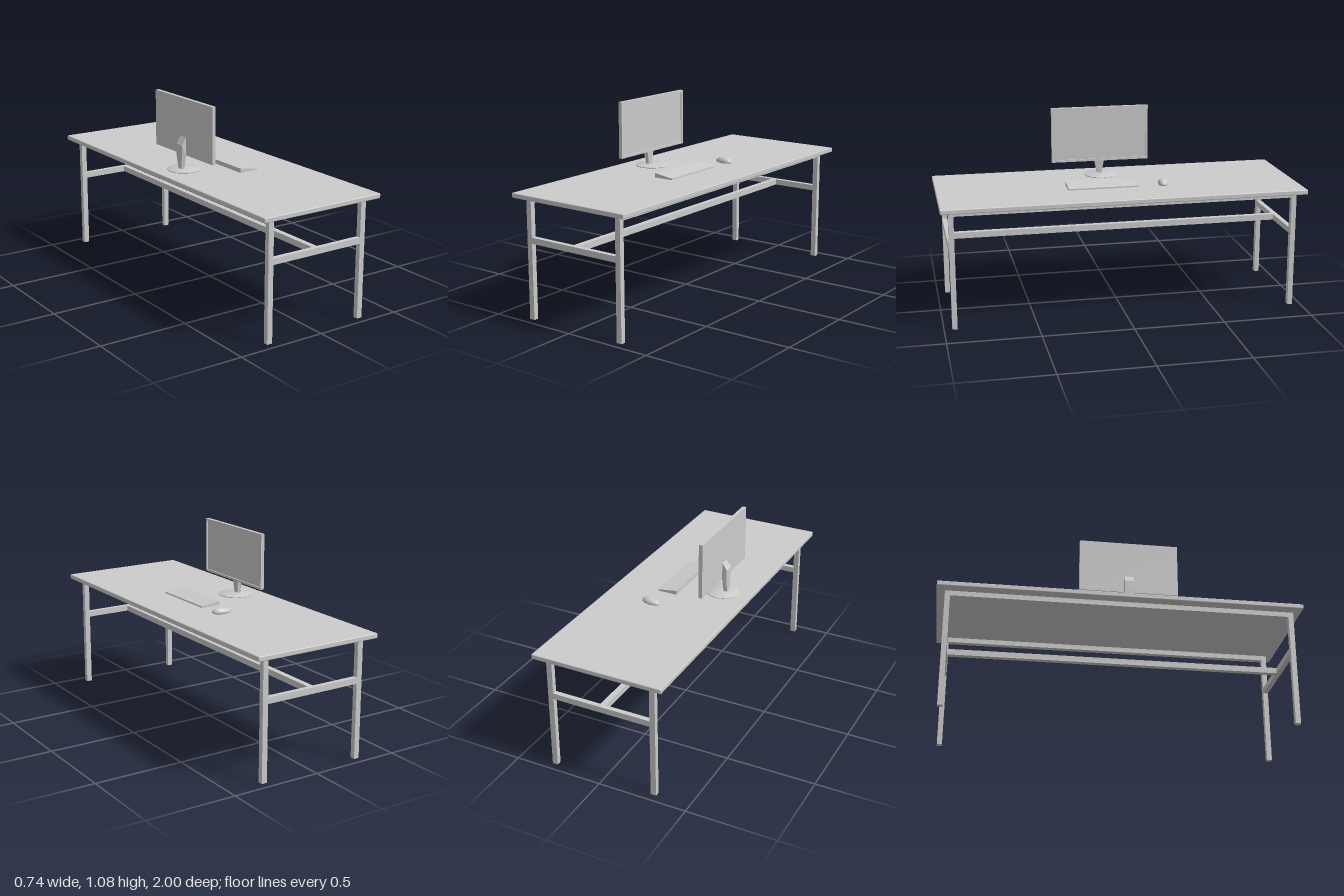
import * as THREE from 'three';
import { RoundedBoxGeometry } from 'three/addons/geometries/RoundedBoxGeometry.js';
import { toCreasedNormals } from 'three/addons/utils/BufferGeometryUtils.js';

const material = new THREE.MeshStandardMaterial({ color: 0xcccccc });

function add(parent, name, geometry, x = 0, y = 0, z = 0) {
  const mesh = new THREE.Mesh(geometry, material);
  mesh.name = name;
  mesh.position.set(x, y, z);
  parent.add(mesh);
  return mesh;
}

function group(parent, name, x = 0, y = 0, z = 0) {
  const g = new THREE.Group();
  g.name = name;
  g.position.set(x, y, z);
  parent.add(g);
  return g;
}

const box = (w, h, d) => new THREE.BoxGeometry(w, h, d);

// Side profile in x/y, extruded along z and centred on z = 0
function extrudeProfile(points, depth, steps = 1) {
  const shape = new THREE.Shape(points.map(([x, y]) => new THREE.Vector2(x, y)));
  return new THREE.ExtrudeGeometry(shape, { depth, steps, bevelEnabled: false }).translate(0, 0, -depth / 2);
}

function buildTable(root) {
  const table = group(root, 'table');
  const legX = 0.295, legZ = 0.942, leg = 0.031, legHeight = 0.657;
  add(table, 'tableTop', new RoundedBoxGeometry(0.738, 0.027, 2, 2, 0.005), 0, 0.6685, 0);

  for (const sx of [-1, 1]) {
    for (const sz of [-1, 1])
      add(table, 'leg', box(leg, legHeight, 0.028), sx * legX, legHeight / 2, sz * legZ);
    // Long rail under the top
    add(table, 'topRail', box(leg, 0.03, 2 * legZ - 0.028), sx * legX, 0.642, 0);
  }
  // H-shaped stretcher
  for (const sz of [-1, 1])
    add(table, 'endStretcher', box(2 * legX - leg, 0.033, 0.028), 0, 0.4315, sz * legZ);
  add(table, 'longStretcher', box(leg, 0.033, 2 * legZ - 0.028), 0, 0.4315, 0);
}

function buildMonitor(root) {
  const monitor = group(root, 'monitor', 0, 0, 0.052);
  const w = 0.556, h = 0.312, y = 0.923, rim = 0.012;

  // Frame with a recessed screen facing +x
  const rect = (S, a, b) => new S([[-a, -b], [a, -b], [a, b], [-a, b]].map(p => new THREE.Vector2(...p)));
  const frame = rect(THREE.Shape, w / 2, h / 2);
  frame.holes.push(rect(THREE.Path, w / 2 - rim, h / 2 - rim));
  const frameGeometry = new THREE.ExtrudeGeometry(frame, { depth: 0.021, bevelEnabled: false }).rotateY(Math.PI / 2);
  add(monitor, 'screenFrame', frameGeometry, -0.21, y, 0);
  add(monitor, 'screenPanel', box(0.014, h - 2 * rim, w - 2 * rim), -0.203, y, 0);

  // Neck with a chamfered head, narrowing towards the base
  const neck = extrudeProfile([
    [-0.234, 0.686], [-0.214, 0.686], [-0.21, 0.765], [-0.21, 0.867], [-0.237, 0.826], [-0.237, 0.765],
  ], 0.054);
  const p = neck.attributes.position;
  for (let i = 0; i < p.count; i++) if (p.getY(i) < 0.7) p.setZ(i, p.getZ(i) * 0.45);
  neck.computeVertexNormals();
  add(monitor, 'neck', neck);

  // Round foot with a softened rim
  const profile = [[0, 0], [0.09, 0], [0.092, 0.002], [0.091, 0.005], [0.087, 0.007], [0, 0.009]];
  const foot = new THREE.LatheGeometry(profile.map(q => new THREE.Vector2(...q)), 40);
  add(monitor, 'foot', toCreasedNormals(foot, 0.7), -0.205, 0.682, -0.004);
}

function buildMouse(root) {
  const mouse = group(root, 'mouse', 0.085, 0.689, -0.25);
  mouse.rotation.y = -0.12;

  // Domed body with a flattened underside, fuller at the palm
  const body = new THREE.SphereGeometry(1, 28, 18);
  const p = body.attributes.position;
  for (let i = 0; i < p.count; i++) {
    const x = p.getX(i), y = p.getY(i), z = p.getZ(i);
    const height = y > 0 ? y * (0.025 + 0.004 * x) : Math.max(y, -0.6) * 0.0117;
    p.setXYZ(i, x * 0.055, height, z * (0.028 + 0.003 * x));
  }
  body.computeVertexNormals();
  add(mouse, 'mouseBody', body);

  const wheel = new THREE.CylinderGeometry(0.006, 0.006, 0.004, 16).rotateX(Math.PI / 2);
  add(mouse, 'scrollWheel', wheel, -0.03, 0.0155, 0);
}

export function createModel() {
  const root = new THREE.Group();
  root.name = 'computerDesk';
  buildTable(root);
  buildMonitor(root);

  // Wedge-shaped keyboard, higher at the monitor side
  const wedge = extrudeProfile([[0.004, 0.682], [0.117, 0.682], [0.117, 0.69], [0.004, 0.706]], 0.392);
  add(root, 'keyboard', wedge, 0, 0, 0.09);

  buildMouse(root);
  return root;
}
